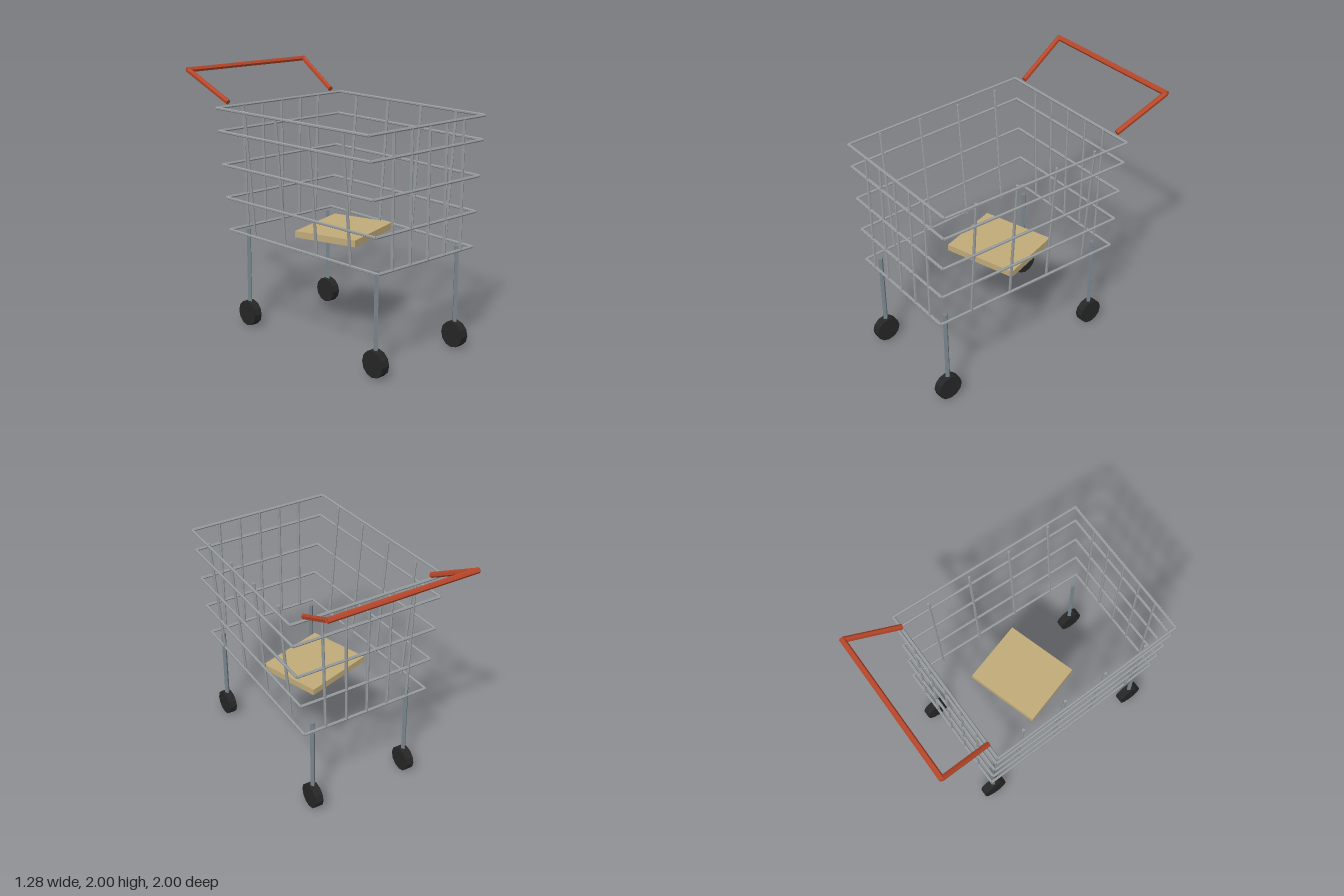
import * as THREE from 'three';

function material(name, color) {
  const m = new THREE.MeshStandardMaterial({ color, flatShading: true });
  m.name = name;
  return m;
}

export function createModel() {
  const cart = new THREE.Group();
  cart.name = 'shoppingCart';
  const wire = material('wireGrey', 0x969b9e);
  const steel = material('legSteel', 0x76828a);
  const rubber = material('wheelBlack', 0x262626);
  const red = material('handleRed', 0xb8472a);
  const card = material('cardboard', 0xc0aa78);

  // Straight rod between two points
  function rod(name, a, b, radius, sides, mat, parent) {
    const p = new THREE.Vector3(...a), q = new THREE.Vector3(...b);
    const mesh = new THREE.Mesh(new THREE.CylinderGeometry(radius, radius, p.distanceTo(q), sides), mat);
    mesh.name = name;
    mesh.position.copy(p).add(q).multiplyScalar(0.5);
    mesh.quaternion.setFromUnitVectors(new THREE.Vector3(0, 1, 0), q.sub(p).normalize());
    parent.add(mesh);
  }

  const basket = new THREE.Group();
  basket.name = 'basket';
  cart.add(basket);
  const front = 0.98, back = -0.575, bottom = 0.78, top = 1.735, r = 0.011;

  // Horizontal rings, wider at the top and the back
  for (const y of [bottom, 1.04, 1.3, 1.56, top]) {
    const wb = 0.53 + (y - bottom) * 0.105, wf = wb - 0.048;
    const c = [[-wf, y, front], [wf, y, front], [wb, y, back], [-wb, y, back]];
    c.forEach((p, i) => rod('ringBar', p, c[(i + 1) % 4], r, 6, wire, basket));
  }

  // Front and back uprights
  for (let i = -2; i <= 2; i++) {
    const x = i * 0.176;
    rod('frontUpright', [x, bottom, front], [x, top, front], r, 6, wire, basket);
    rod('backUpright', [x, bottom, back], [x * 1.09, top, back], r, 6, wire, basket);
  }

  for (const s of [-1, 1]) {
    // Leaning side uprights
    for (const z of [0.72, 0.375, 0.03, -0.32])
      rod('sideUpright', [s * 0.49, bottom, z], [s * 0.57, top, z], r, 6, wire, basket);

    // Legs and wheels
    for (const z of [0.897, -0.492]) {
      rod('leg', [s * 0.415, 0.1, z], [s * 0.415, 0.785, z], 0.02, 4, steel, cart);
      rod('wheel', [s * 0.415 - 0.033, 0.1, z], [s * 0.415 + 0.033, 0.1, z], 0.1, 12, rubber, cart);
    }

    // Handle arms
    rod('handleArm', [s * 0.52, 1.767, -0.575], [s * 0.587, 1.977, -0.98], 0.021, 6, red, cart);
  }
  rod('handleBar', [-0.597, 1.978, -0.98], [0.597, 1.978, -0.98], 0.021, 6, red, cart);

  // Flat box lying in the basket
  const box = new THREE.Mesh(new THREE.BoxGeometry(0.588, 0.05, 0.512), card);
  box.name = 'box';
  box.position.set(0.03, 0.815, 0.112);
  box.rotation.y = 0.295;
  cart.add(box);

  return cart;
}
